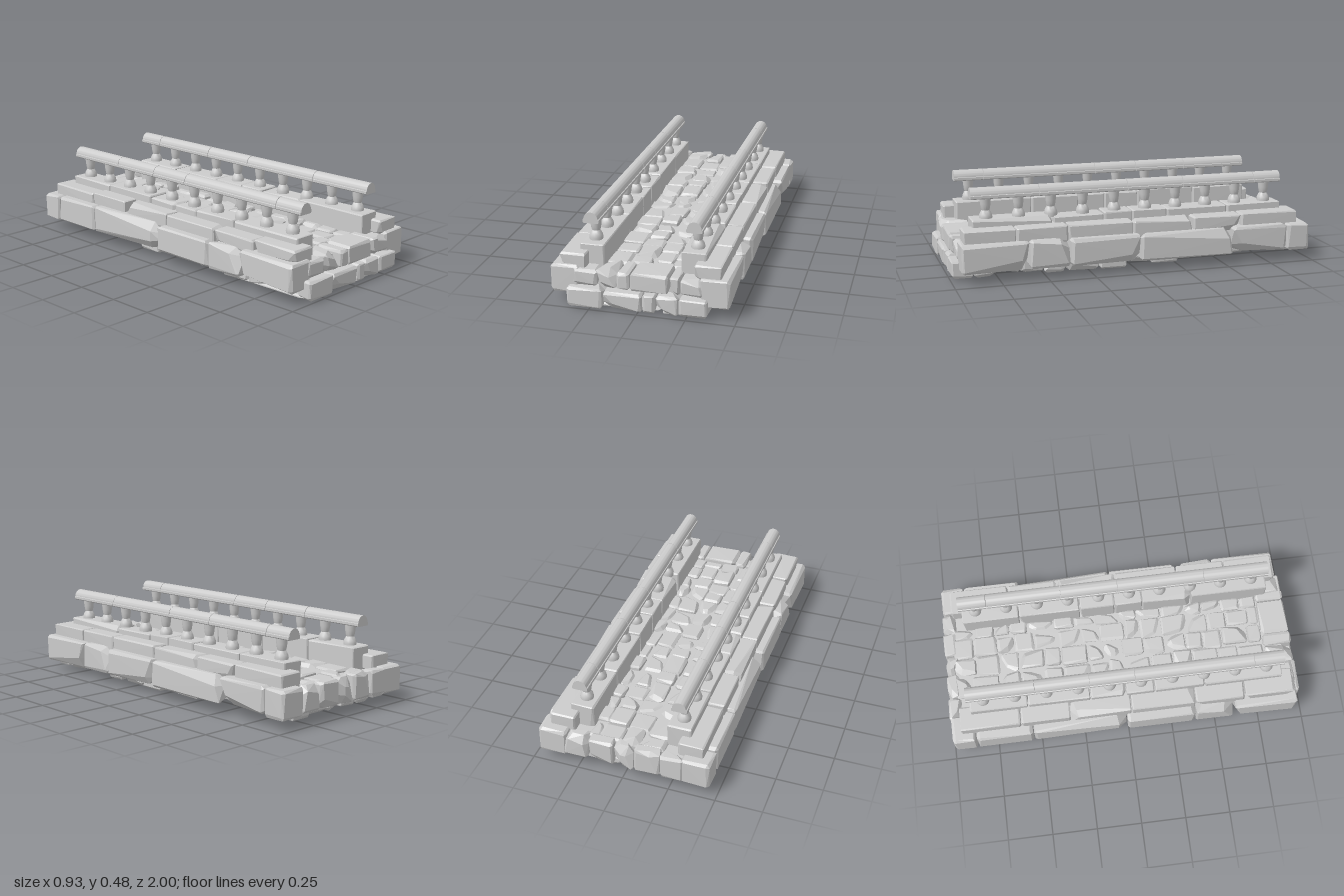
import * as THREE from 'three';
import { ConvexGeometry } from 'three/addons/geometries/ConvexGeometry.js';
import { mergeGeometries, toCreasedNormals } from 'three/addons/utils/BufferGeometryUtils.js';

export function createModel() {
  const model = new THREE.Group();
  const mat = new THREE.MeshStandardMaterial({ color: 0xcccccc });
  const stoneMat = new THREE.MeshStandardMaterial({ color: 0xcccccc, flatShading: true });

  let seed = 17;
  const rnd = (a = 0, b = 1) => {
    seed = (seed * 16807) % 2147483647;
    return a + (b - a) * (seed / 2147483647);
  };

  const add = (name, geometry, material = stoneMat) => {
    const mesh = new THREE.Mesh(geometry, material);
    mesh.name = name;
    model.add(mesh);
    return mesh;
  };

  // Hewn block: a box whose eight corners are cut by uneven chamfers
  function stone(x0, x1, y0, y1, z0, z1, chamfer = 0.015, chip = 0.15) {
    const c = [(x0 + x1) / 2, (y0 + y1) / 2, (z0 + z1) / 2];
    const h = [Math.abs(x1 - x0) / 2, Math.abs(y1 - y0) / 2, Math.abs(z1 - z0) / 2];
    const points = [];
    for (const sx of [-1, 1]) for (const sy of [-1, 1]) for (const sz of [-1, 1]) {
      const s = [sx, sy, sz];
      const big = rnd() < chip ? 3.5 : 1;
      for (let face = 0; face < 3; face++) {
        const p = s.map((v, i) => {
          const cut = i === face ? rnd(0, 0.002) : Math.min(chamfer * big * rnd(0.4, 1.3), h[i] * 0.75);
          return c[i] + v * (h[i] - cut);
        });
        points.push(new THREE.Vector3(...p));
      }
    }
    return new ConvexGeometry(points);
  }

  // Uneven division of a range into pieces of roughly the given size
  function divide(a, b, size) {
    const cuts = [a];
    while (b - cuts[cuts.length - 1] > size * 1.4) {
      cuts.push(cuts[cuts.length - 1] + size * rnd(0.7, 1.3));
    }
    cuts.push(b);
    return cuts;
  }

  // Paving: columns of stones with staggered joints
  function paving(xs, z0, z1, size, heights, chamfer) {
    const parts = [];
    for (let i = 0; i < xs.length - 1; i++) {
      const zs = divide(z0, z1, size);
      for (let j = 0; j < zs.length - 1; j++) {
        const [y0, y1] = heights((zs[j] + zs[j + 1]) / 2);
        const inner = (k) => (k === 0 || k === xs.length - 1 ? 0 : rnd(-0.012, 0.012));
        parts.push(stone(xs[i] + inner(i) + 0.002, xs[i + 1] + inner(i + 1) - 0.002,
          y0, y1, zs[j] + 0.002, zs[j + 1] - 0.002, chamfer, 0.2));
      }
    }
    return mergeGeometries(parts);
  }

  // Row of blocks along z, given its joints
  const rowZ = (xa, xb, y0, y1, zs, chamfer, chip) => mergeGeometries(zs.slice(1).map((z, i) =>
    stone(xa, xb, y0 + rnd(0, 0.008), y1 - rnd(0, 0.01), zs[i] + 0.002, z - 0.002, chamfer, chip)));

  // Row of blocks along x, given its joints
  const rowX = (xs, y0, y1, z0, z1, chamfer) => mergeGeometries(xs.slice(1).map((x, i) =>
    stone(xs[i] + 0.002, x - 0.002, y0 + rnd(0, 0.008), y1 - rnd(0, 0.008), z0, z1 - rnd(0, 0.012), chamfer, 0.2)));

  // Mortar filling behind the stones
  const core = add('mortarCore', new THREE.BoxGeometry(0.68, 0.13, 1.87));
  core.position.set(0, 0.12, -0.01);

  // Underside cobbles, lower towards the front half
  add('baseStones', paving([-0.37, -0.25, -0.13, -0.02, 0.1, 0.23, 0.36], -0.96, 0.88, 0.15,
    (z) => [z > -0.2 ? rnd(0.004, 0.028) : rnd(0.03, 0.045), 0.11], 0.018));
  const baseFront = [-0.37, -0.18, 0.025, 0.095, 0.21, 0.36];
  add('baseFrontStones', rowX(baseFront, 0.01, 0.115, 0.88, 1, 0.014));
  const footing = add('footingStones', rowX([-0.36, -0.24, -0.03, 0.12, 0.21], 0, 0.03, 0.5, 0.96, 0.01));
  footing.position.y = -0.0005;

  // Walkway cobbles
  add('deckStones', paving([-0.21, -0.08, 0.03, 0.14, 0.21], -0.95, 0.82, 0.12,
    () => [0.12, rnd(0.195, 0.215)], 0.014));
  add('deckFrontStones', rowX([-0.22, -0.11, -0.04, 0.16, 0.22], 0.115, 0.218, 0.82, 0.985, 0.014));

  // Back course
  add('backStones', rowX([-0.33, -0.2, -0.06, 0.05, 0.19, 0.33], 0.065, 0.212, -1, -0.92, 0.014));

  // Three stepped courses on each side
  const outerJoints = [-0.995, -0.86, -0.54, -0.01, 0.38, 0.6, 0.96];
  const middleJoints = [-0.94, -0.6, -0.32, 0.02, 0.38, 0.66, 0.94];
  const innerJoints = [-0.875, -0.55, -0.2, 0, 0.16, 0.44, 0.88];
  for (const s of [-1, 1]) {
    const side = s > 0 ? 'left' : 'right';
    add(side + 'OuterStones', rowZ(s * 0.31, s * 0.466, 0.058, 0.216, outerJoints, 0.016, 0.25));
    add(side + 'MiddleStones', rowZ(s * 0.28, s * 0.418, 0.18, 0.277, middleJoints, 0.01, 0.12));
    add(side + 'InnerStones', rowZ(s * 0.2, s * 0.33, 0.13, 0.315, innerJoints, 0.008, 0.08));
    add(side + 'ShoulderStone', stone(s * 0.215, s * 0.34, 0.115, 0.202, 0.84, 0.965, 0.016));
  }

  // Balusters
  const balusterProfile = [[0, 0.3], [0.034, 0.3], [0.036, 0.32], [0.033, 0.334], [0.026, 0.348],
    [0.021, 0.356], [0.024, 0.364], [0.028, 0.39], [0.031, 0.424], [0, 0.424]];
  const balusterGeo = toCreasedNormals(
    new THREE.LatheGeometry(balusterProfile.map(([r, y]) => new THREE.Vector2(r, y)), 16), 0.7);

  // Domed handrail section over a flat flange
  const section = new THREE.Shape();
  section.moveTo(-0.036, 0.42);
  section.lineTo(0.036, 0.42);
  section.lineTo(0.042, 0.425);
  section.lineTo(0.042, 0.438);
  section.lineTo(0.037, 0.44);
  section.absellipse(0, 0.44, 0.037, 0.038, 0, Math.PI, false);
  section.lineTo(-0.042, 0.438);
  section.lineTo(-0.042, 0.425);
  section.closePath();

  const railJoints = { '-1': [-0.88, -0.5, -0.2, 0.05, 0.71, 0.88], 1: [-0.88, -0.72, -0.3, 0.02, 0.51, 0.88] };
  for (const s of [-1, 1]) {
    const side = s > 0 ? 'left' : 'right';
    const x = s * 0.267;
    for (let i = 0; i < 10; i++) {
      add(side + 'Baluster', balusterGeo, mat).position.set(x, 0, -0.794 + i * 0.1765);
    }
    const joints = railJoints[s];
    for (let i = 0; i < joints.length - 1; i++) {
      const geo = new THREE.ExtrudeGeometry(section,
        { depth: joints[i + 1] - joints[i] - 0.003, bevelEnabled: false, curveSegments: 10 });
      add(side + 'Handrail', toCreasedNormals(geo, 0.6), mat).position.set(x, 0, joints[i] + 0.0015);
    }
  }
  return model;
}
